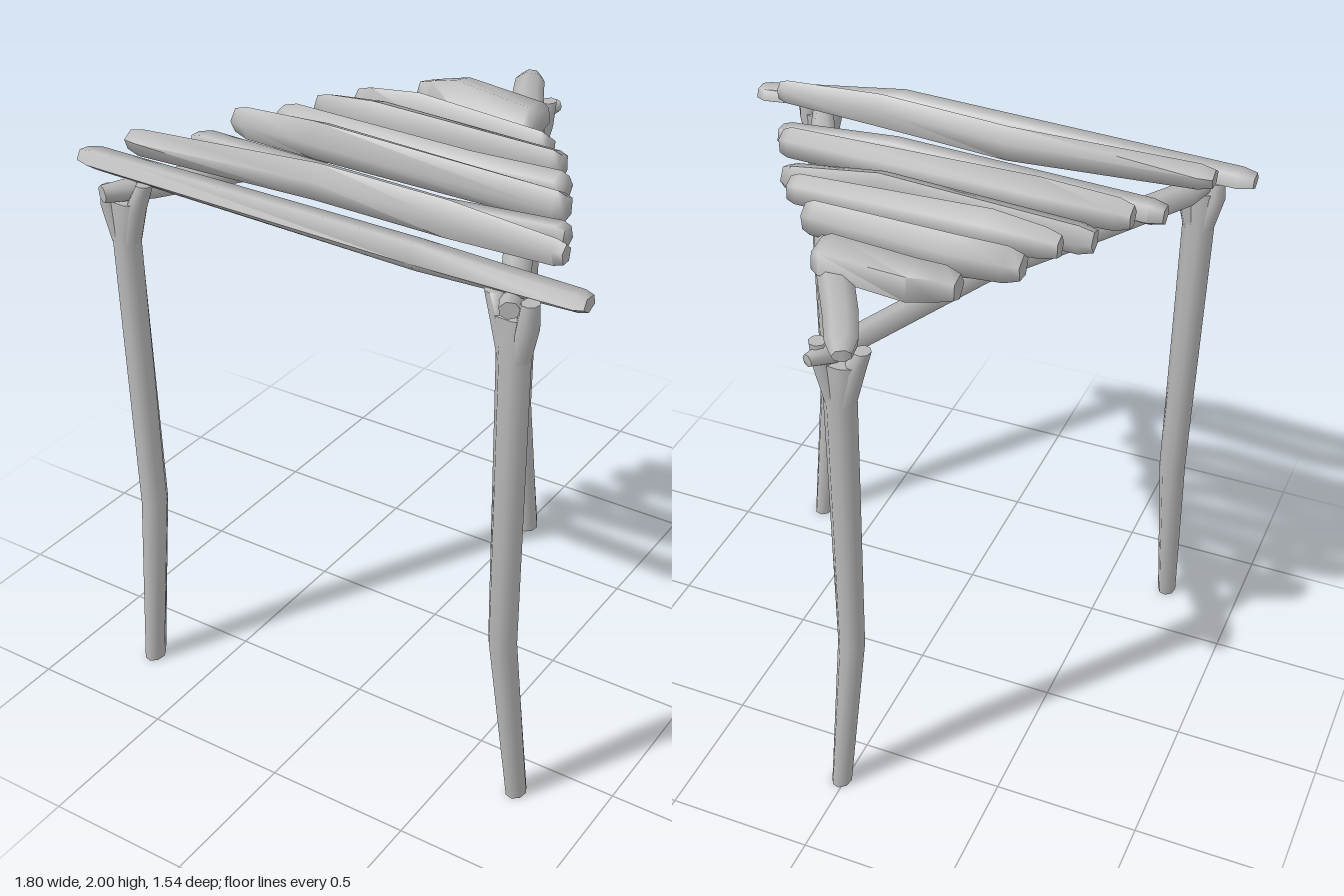
import * as THREE from 'three';
import { toCreasedNormals } from 'three/addons/utils/BufferGeometryUtils.js';

const X = new THREE.Vector3(1, 0, 0);
const Y = new THREE.Vector3(0, 1, 0);
const Z = new THREE.Vector3(0, 0, 1);

// Capped loft along points [x, y, z, a, b]; a is the half-size along u, b along axis x u
function stickGeometry(points, axis, u, sides, phase) {
  const v = new THREE.Vector3().crossVectors(axis, u);
  const pos = [], index = [];
  for (const [x, y, z, a, b] of points) {
    for (let j = 0; j < sides; j++) {
      const t = phase + (j / sides) * Math.PI * 2;
      const p = new THREE.Vector3(x, y, z)
        .addScaledVector(u, a * Math.cos(t))
        .addScaledVector(v, b * Math.sin(t));
      pos.push(p.x, p.y, p.z);
    }
  }
  const last = (points.length - 1) * sides;
  const c0 = points.length * sides;
  for (const end of [points[0], points[points.length - 1]]) pos.push(end[0], end[1], end[2]);
  for (let j = 0; j < sides; j++) {
    const k = (j + 1) % sides;
    for (let i = 0; i < last; i += sides) {
      index.push(i + j, i + k, i + sides + k, i + j, i + sides + k, i + sides + j);
    }
    index.push(c0, k, j, c0 + 1, last + j, last + k);
  }
  const geo = new THREE.BufferGeometry();
  geo.setAttribute('position', new THREE.Float32BufferAttribute(pos, 3));
  geo.setIndex(index);
  return toCreasedNormals(geo, 1.3);
}

export function createModel() {
  const group = new THREE.Group();
  group.name = 'stickRack';
  const wood = new THREE.MeshStandardMaterial({ color: 0xb8b8b8 });
  wood.name = 'greyWood';

  const add = (parent, name, geo) => {
    const mesh = new THREE.Mesh(geo, wood);
    mesh.name = name;
    parent.add(mesh);
  };

  // Forked legs: crooked trunk flaring into two prongs
  const legs = [
    { name: 'frontRightLeg',
      trunk: [[-0.73, 0, 0.73, 0.042, 0.033], [-0.715, 0.65, 0.675, 0.047, 0.047],
        [-0.715, 1.68, 0.69, 0.039, 0.055], [-0.705, 1.79, 0.69, 0.036, 0.072]],
      tips: [[-0.76, 1.83, 0.70], [-0.63, 1.86, 0.68]] },
    { name: 'frontLeftLeg',
      trunk: [[0.72, 0, 0.645, 0.042, 0.034], [0.687, 0.65, 0.70, 0.047, 0.047],
        [0.695, 1.68, 0.69, 0.039, 0.055], [0.69, 1.79, 0.69, 0.036, 0.072]],
      tips: [[0.62, 1.85, 0.68], [0.75, 1.85, 0.70]] },
    { name: 'backLeg',
      trunk: [[0.013, 0, -0.68, 0.043, 0.034], [-0.01, 0.61, -0.618, 0.045, 0.046],
        [-0.01, 1.64, -0.643, 0.039, 0.055], [-0.01, 1.75, -0.645, 0.036, 0.072]],
      tips: [[-0.08, 1.80, -0.63], [0.05, 1.82, -0.66]] },
  ];
  for (const { name, trunk, tips } of legs) {
    const leg = new THREE.Group();
    leg.name = name;
    group.add(leg);
    add(leg, 'trunk', stickGeometry(trunk, Y, Z, 8, 0.2));
    const [fx, fy, fz] = trunk[2];
    for (const [x, y, z] of tips) {
      const s = Math.sign(x - fx);
      add(leg, 'prong', stickGeometry([
        [fx + s * 0.018, fy - 0.03, fz, 0.034, 0.034],
        [fx + s * 0.045, fy + 0.09, (fz + z) / 2, 0.036, 0.036],
        [x, y, z, 0.03, 0.028],
      ], Y, Z, 8, 0.2));
    }
  }

  // Two side rails meeting over the back leg
  const rails = {
    leftRail: [[-0.075, 1.858, -0.755, 0.02, 0.032], [-0.045, 1.86, -0.69, 0.035, 0.052],
      [0.02, 1.858, -0.56, 0.04, 0.056],
      [0.15, 1.845, -0.33, 0.043, 0.058], [0.36, 1.805, 0.06, 0.045, 0.05],
      [0.62, 1.81, 0.56, 0.042, 0.044], [0.70, 1.825, 0.73, 0.028, 0.032]],
    rightRail: [[0.055, 1.785, -0.72, 0.02, 0.022], [0.02, 1.775, -0.64, 0.04, 0.038],
      [-0.25, 1.82, -0.12, 0.042, 0.04], [-0.48, 1.81, 0.28, 0.045, 0.048],
      [-0.68, 1.812, 0.60, 0.042, 0.048], [-0.745, 1.825, 0.75, 0.028, 0.034]],
  };
  for (const [name, pts] of Object.entries(rails)) {
    const a = pts[0], b = pts[pts.length - 1];
    const dir = new THREE.Vector3(b[0] - a[0], 0, b[2] - a[2]).normalize();
    add(group, name, stickGeometry(pts, dir, Y, 7, 0.3));
  }

  // Crooked rungs, front to back: left end, bend and right end as [x, y, z, half height, half depth]
  const rungs = [
    [[-0.90, 1.885, 0.65, 0.034, 0.044], [0.37, 1.893, 0.69, 0.046, 0.044], [0.90, 1.862, 0.64, 0.03, 0.042]],
    [[-0.79, 1.925, 0.545, 0.04, 0.045], [-0.1, 1.93, 0.50, 0.055, 0.048], [0.38, 1.94, 0.53, 0.055, 0.042], [0.77, 1.935, 0.54, 0.038, 0.032]],
    [[-0.69, 1.87, 0.35, 0.042, 0.044], [0.27, 1.875, 0.395, 0.046, 0.042], [0.67, 1.88, 0.345, 0.042, 0.04]],
    [[-0.62, 1.915, 0.22, 0.052, 0.046], [-0.3, 1.92, 0.22, 0.06, 0.06], [0.61, 1.915, 0.24, 0.05, 0.042]],
    [[-0.545, 1.89, 0.08, 0.05, 0.044], [0.2, 1.895, 0.122, 0.056, 0.042], [0.52, 1.89, 0.075, 0.047, 0.044]],
    [[-0.47, 1.91, -0.03, 0.05, 0.042], [-0.24, 1.915, -0.027, 0.063, 0.058], [0.45, 1.91, -0.027, 0.05, 0.04]],
    [[-0.40, 1.895, -0.16, 0.055, 0.054], [-0.17, 1.9, -0.18, 0.063, 0.054], [0.34, 1.895, -0.142, 0.055, 0.044]],
    [[-0.265, 1.895, -0.345, 0.055, 0.056], [-0.13, 1.9, -0.37, 0.064, 0.068], [0.205, 1.895, -0.325, 0.055, 0.08]],
  ];
  const phases = [0.5, 0, 0.6, 0.2, 0.9, 0.3, 0.1, 0.4];
  rungs.forEach((pts, i) => {
    // chamfer both ends with a smaller closing ring
    const L = pts[0], R = pts[pts.length - 1];
    const ring = ([x, y, z, a, b], dx, k) => [x + dx, y, z, a * k, b * k];
    const path = [ring(L, 0, 0.8), ring(L, 0.05, 1.1), ...pts.slice(1, -1).map((p) => ring(p, 0, 1.1)),
      ring(R, -0.03, 1.1), ring(R, 0, 0.85)];
    add(group, 'rung' + (i + 1), stickGeometry(path, X, Y, 5, phases[i]));
  });

  return group;
}
